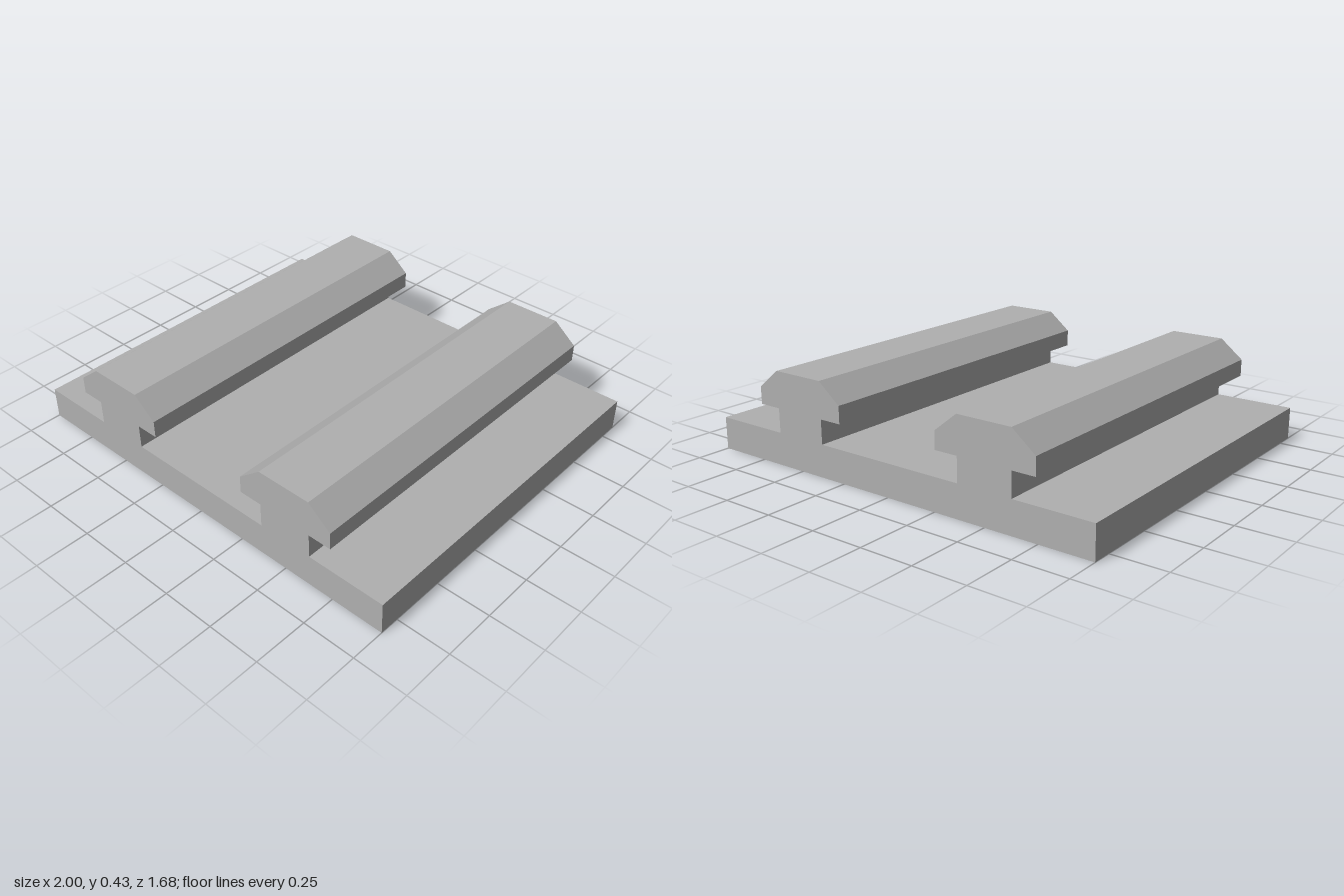
import * as THREE from 'three';

const DEPTH = 1.68;
const BASE_TOP = 0.15;

// Outline of one T-shaped rail, right foot to left foot, relative to its centre line
const RAIL = [
  [0.13, BASE_TOP], [0.13, 0.262], [0.24, 0.262], [0.24, 0.342], [0.13, 0.43],
  [-0.13, 0.43], [-0.24, 0.342], [-0.24, 0.262], [-0.13, 0.262], [-0.13, BASE_TOP],
];

export function createModel() {
  const group = new THREE.Group();
  group.name = 'railPlate';

  const grey = new THREE.MeshStandardMaterial({ color: 0xb0b0b0 });
  grey.name = 'grey';

  // Base plate and both rails share one continuous cross-section
  const profile = new THREE.Shape();
  profile.moveTo(-1, 0);
  profile.lineTo(1, 0);
  profile.lineTo(1, BASE_TOP);
  for (const centre of [0.5, -0.5]) {
    for (const [x, y] of RAIL) profile.lineTo(centre + x, y);
  }
  profile.lineTo(-1, BASE_TOP);
  profile.closePath();

  const geometry = new THREE.ExtrudeGeometry(profile, { depth: DEPTH, bevelEnabled: false });
  geometry.translate(0, 0, -DEPTH / 2);

  const body = new THREE.Mesh(geometry, grey);
  body.name = 'basePlateWithRails';
  group.add(body);
  return group;
}
